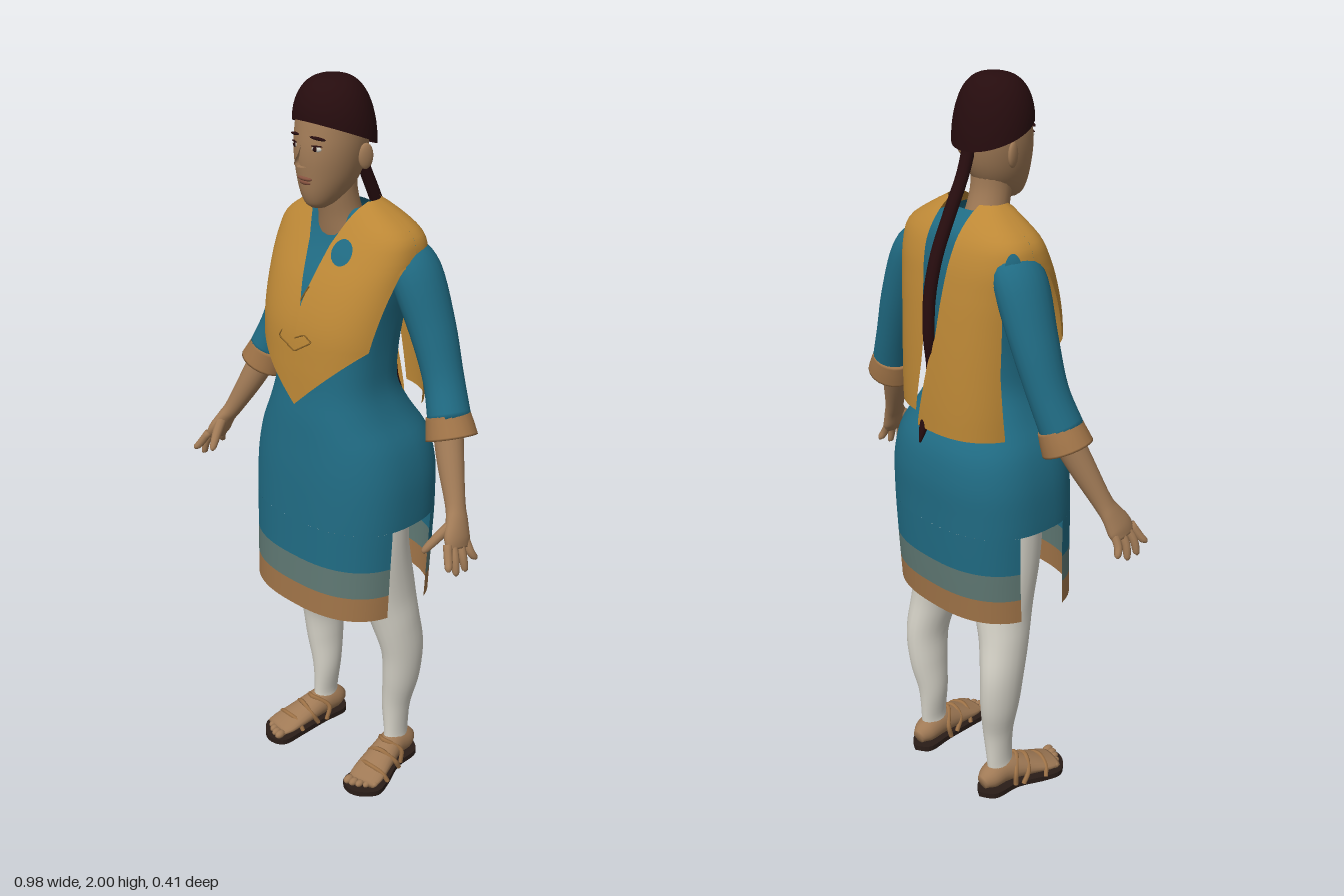
import * as THREE from 'three';
import { mergeVertices } from 'three/addons/utils/BufferGeometryUtils.js';

const mat = (name, color, side = THREE.FrontSide) => {
  const m = new THREE.MeshStandardMaterial({ color, side });
  m.name = name;
  return m;
};
const D = THREE.DoubleSide;
const teal = mat('teal cloth', 0x206b83, D), gold = mat('golden vest', 0xbd8836, D);
const seamGold = mat('dark gold seam', 0x8a6226), hairMat = mat('dark hair', 0x260c0e, D);
const skin = mat('skin', 0xa07a56), cream = mat('cream leggings', 0xd6d3c8);
const tan = mat('tan trim', 0xa07448, D), grey = mat('grey band', 0x5f7873, D);
const soleMat = mat('dark sole', 0x2a1d18), lip = mat('lips', 0x85523f);

const V = (x, y, z) => new THREE.Vector3(x, y, z);
const rad = Math.PI / 180;

function mesh(name, geo, material, parent) {
  const m = new THREE.Mesh(geo, material);
  m.name = name;
  parent.add(m);
  return m;
}

// Surface from fn(u, v); u runs across, v runs along
function grid(fn, nu, nv) {
  const pos = [], idx = [];
  for (let i = 0; i <= nv; i++)
    for (let j = 0; j <= nu; j++) pos.push(...fn(j / nu, i / nv));
  for (let i = 0; i < nv; i++)
    for (let j = 0; j < nu; j++) {
      const a = i * (nu + 1) + j, b = a + nu + 1;
      idx.push(a, b, a + 1, b, b + 1, a + 1);
    }
  let g = new THREE.BufferGeometry();
  g.setAttribute('position', new THREE.Float32BufferAttribute(pos, 3));
  g.setIndex(idx);
  g = mergeVertices(g, 1e-5);
  g.computeVertexNormals();
  return g;
}

// Closed limb through rows of [x, y, z, width, depth]; depth points along ref
function limb(rows, { ref = V(0, 0, 1), level = false, nu = 20, steps = 5 } = {}) {
  const path = new THREE.CatmullRomCurve3(rows.map(r => V(r[0], r[1], r[2])), false, 'catmullrom');
  const size = new THREE.CatmullRomCurve3(rows.map(r => V(r[3], r[4], 0)), false, 'catmullrom');
  const n = (rows.length - 1) * steps;
  const rings = [];
  for (let i = 0; i <= n; i++) {
    const t = level ? V(0, 1, 0) : path.getTangent(i / n);
    const u = t.clone().cross(ref).normalize(), w = u.clone().cross(t);
    rings.push({ p: path.getPoint(i / n), s: size.getPoint(i / n), u, w });
  }
  return grid((a, v) => {
    const k = Math.round(v * (n + 2)) - 1;
    const r = rings[Math.min(n, Math.max(0, k))];
    const f = k < 0 || k > n ? 0 : 1, th = a * Math.PI * 2;
    return r.p.clone().addScaledVector(r.u, f * Math.max(r.s.x, 0.001) * Math.cos(th))
      .addScaledVector(r.w, f * Math.max(r.s.y, 0.001) * Math.sin(th)).toArray();
  }, nu, n + 2);
}

// Interpolated tables: rows of [y, values...]
function table(rows, Kind = THREE.LinearInterpolant) {
  const it = new Kind(rows.map(r => r[0]), rows.flatMap(r => r.slice(1)), rows[0].length - 1);
  return y => [...it.evaluate(y)];
}
// Body and vest sections: [y, half width, front z, back z]
const body = table([[0.6, .245, .205, -.185], [0.75, .247, .2, -.195], [0.9, .25, .195, -.2], [1.0, .243, .19, -.2],
  [1.08, .222, .183, -.183], [1.15, .185, .176, -.14], [1.22, .16, .165, -.105], [1.3, .156, .158, -.105],
  [1.4, .163, .15, -.12], [1.5, .178, .12, -.125], [1.58, .185, .075, -.12], [1.64, .14, .05, -.105],
  [1.68, .06, .045, -.06]], THREE.CubicInterpolant);
const vest = table([[1.12, .2, .19, -.187], [1.19, .203, .186, -.187], [1.3, .207, .182, -.183], [1.4, .212, .172, -.176],
  [1.5, .217, .14, -.165], [1.58, .217, .1, -.15], [1.63, .2, .072, -.13], [1.68, .125, .045, -.09],
  [1.7, .09, .035, -.065]], THREE.CubicInterpolant);
const spow = c => Math.sign(c) * Math.abs(c) ** 0.8;
function around(sec, th, y, off = 0) {
  const [rx, f, b] = sec(y);
  return [(rx + off) * spow(Math.cos(th)), y, (f + b) / 2 + ((f - b) / 2 + off) * spow(Math.sin(th))];
}
// Cloth between heights y0 and y1 and angles a0(y) and a1(y)
function cloth(sec, y0, y1, a0, a1, nu, nv) {
  return grid((u, v) => {
    const y = y0 + (y1 - y0) * v;
    return around(sec, a0(y) + (a1(y) - a0(y)) * u, y);
  }, nu, nv);
}
const angleAt = (x, y) => Math.acos(Math.min(1, Math.abs(x) / vest(y)[0]) ** 1.25 * Math.sign(x || 1));

function addDress(g) {
  mesh('tunic', cloth(body, 0.86, 1.68, () => -90 * rad, () => 270 * rad, 56, 40), teal, g);
  // Skirt panels with open side slits
  for (const [side, a, b] of [['front', 16, 164], ['back', 199, 341]])
    for (const [part, y0, y1, m] of [['Hem', .6, .67, tan], ['Band', .67, .75, grey], ['Skirt', .75, .86, teal]])
      mesh(side + part, cloth(body, y0, y1, () => a * rad, () => b * rad, 32, 3), m, g);
}

function addVest(g) {
  const frontWidth = table([[1.19, 0], [1.36, .185], [1.46, .2], [1.57, .217], [1.7, .3]]);
  const neck = table([[1.45, 0], [1.6, .036], [1.66, .062], [1.7, .085]]);
  const backGap = table([[1.13, .006], [1.3, .012], [1.45, .03], [1.6, .05], [1.7, .055]]);
  const gapShift = table([[1.13, .05], [1.38, 0], [1.7, 0]]);
  const backEdge = table([[1.13, 24], [1.3, 30], [1.48, 32], [1.57, 0], [1.7, 0]]);
  for (const s of [1, -1]) {
    const flip = a => s > 0 ? a : Math.PI - a;
    const outer = y => angleAt(frontWidth(y)[0], y), inner = y => angleAt(neck(y)[0], y);
    const [a, b] = s > 0 ? [outer, inner] : [inner, outer];
    mesh('vestFront', cloth(vest, 1.19, 1.7, y => flip(a(y)), y => flip(b(y)), 16, 36), gold, g);
    // Back halves meet along a slightly slanted gap
    const edge = y => s > 0 ? 360 * rad - backEdge(y)[0] * rad : 180 * rad + backEdge(y)[0] * rad;
    const mid = y => 360 * rad - angleAt(gapShift(y)[0] + s * backGap(y)[0], y);
    const [c, d] = s > 0 ? [mid, edge] : [edge, mid];
    mesh('vestBack', cloth(vest, s > 0 ? 1.16 : 1.12, 1.7, c, d, 16, 36), gold, g);
  }
  // Overlap seam and cloth spots lying on the vest
  const seam = [[.015, 1.5], [-.06, 1.36], [0, 1.335], [.055, 1.37], [.03, 1.385], [.0, 1.37]]
    .map(([x, y]) => V(...around(vest, angleAt(x, y), y, .002)));
  const line = new THREE.CurvePath();
  for (let i = 1; i < seam.length; i++) line.add(new THREE.LineCurve3(seam[i - 1], seam[i]));
  mesh('vestSeam', new THREE.TubeGeometry(line, 40, .002, 5), seamGold, g);
  for (const [th, y, w, h] of [[73, 1.59, 8, .03], [203, 1.58, 9, .035]])
    mesh('clothSpot', grid((u, v) => around(vest, (th + w * v * Math.cos(u * 2 * Math.PI)) * rad,
      y + h * v * Math.sin(u * 2 * Math.PI), .004), 20, 4), teal, g);
}

function addArm(g, s) {
  const arm = new THREE.Group();
  arm.name = s > 0 ? 'leftArm' : 'rightArm';
  g.add(arm);
  const L = (name, rows, m, o) => mesh(name, limb(rows.map(([x, ...r]) => [x * s, ...r]), o), m, arm);
  L('sleeve', [[.15, 1.59, -.045, .04, .06], [.195, 1.53, -.05, .058, .074], [.25, 1.4, -.055, .055, .064],
    [.295, 1.28, -.05, .05, .055], [.335, 1.18, -.033, .054, .058]], teal);
  L('cuff', [[.325, 1.195, -.036, .056, .059], [.337, 1.165, -.032, .063, .063], [.347, 1.14, -.028, .068, .066]], tan);
  L('forearm', [[.33, 1.18, -.03, .04, .04], [.37, 1.09, 0, .035, .034], [.415, 1.0, .03, .025, .027],
    [.435, .965, .045, .021, .033], [.45, .93, .06, .02, .042], [.46, .905, .066, .014, .038]], skin);
  // Fingers fan out along z, thumb to the front
  [[.1, .125, .872], [.08, .096, .85], [.056, .062, .848], [.036, .026, .865]].forEach(([z0, z1, y1]) =>
    L('finger', [[.453, .925, z0, .011, .012], [.472, .89, (z0 + z1) / 2 + .004, .011, .011],
      [.48, y1 + .006, z1, .009, .009], [.48, y1, z1, .004, .004]], skin, { nu: 10, steps: 3 }));
  L('thumb', [[.435, .965, .06, .014, .016], [.42, .935, .095, .013, .014], [.405, .905, .125, .01, .01],
    [.402, .895, .132, .004, .004]], skin, { nu: 10, steps: 3 });
}

function addLeg(g, s) {
  const leg = new THREE.Group();
  leg.name = s > 0 ? 'leftLeg' : 'rightLeg';
  g.add(leg);
  const up = V(0, 1, 0), mir = rows => rows.map(([x, ...r]) => [x * s, ...r]);
  mesh('legging', limb(mir([[.12, .93, 0, .09, .08], [.122, .75, -.008, .082, .085], [.128, .6, -.035, .074, .085],
    [.147, .5, -.052, .062, .075], [.16, .4, -.07, .051, .069], [.155, .3, -.073, .047, .061],
    [.143, .2, -.068, .038, .047], [.146, .1, -.065, .027, .042], [.146, .06, -.06, .034, .045]])), cream, leg);
  mesh('foot', limb(mir([[.143, .04, -.13, .018, .02], [.145, .05, -.1, .035, .036], [.148, .058, -.05, .038, .042],
    [.16, .045, .02, .045, .03], [.172, .032, .08, .05, .018], [.178, .026, .115, .044, .011]]), { ref: up }), skin, leg);
  for (let i = 0; i < 5; i++) {
    const toe = mesh('toe', new THREE.SphereGeometry(.012 - i * .001, 10, 8), skin, leg);
    toe.position.set(s * (.145 + i * .0175), .027, .132 - i * i * .0022);
    toe.scale.z = 1.5;
  }
  // Sandal sole outline, then straps
  const outline = [[.145, -.142], [.185, -.11], [.19, -.03], [.222, .05], [.232, .1], [.2, .14], [.16, .152],
    [.123, .13], [.118, .06], [.115, -.03], [.108, -.11]].map(([x, z]) => new THREE.Vector2(x * s, -z));
  const shape = new THREE.Shape(new THREE.SplineCurve([...outline, outline[0]]).getPoints(50));
  const sole = mesh('sole', new THREE.ExtrudeGeometry(shape, { depth: .016, bevelEnabled: false }), soleMat, leg);
  sole.rotation.x = -Math.PI / 2;
  const strap = (...p) => mesh('strap', new THREE.TubeGeometry(new THREE.CatmullRomCurve3(
    p.map(([x, y, z]) => V(x * s, y, z))), 24, .007, 6), tan, leg);
  strap([.12, .015, .06], [.135, .045, .065], [.172, .056, .07], [.21, .042, .06], [.222, .015, .05]);
  strap([.115, .015, .0], [.122, .055, .02], [.162, .078, .02], [.2, .05, .0], [.202, .015, -.02]);
  strap([.108, .015, -.03], [.108, .06, -.04], [.15, .092, -.008], [.19, .06, -.04], [.19, .015, -.04]);
}

function addHead(g) {
  const head = new THREE.Group();
  head.name = 'head';
  g.add(head);
  mesh('neck', limb([[0, 1.6, .0, .075, .06], [0, 1.66, .015, .058, .055], [0, 1.72, .03, .053, .053],
    [0, 1.78, .035, .055, .055]], { level: true }), skin, head);
  mesh('face', limb([[0, 1.69, .09, .02, .022], [0, 1.702, .084, .036, .042], [0, 1.73, .066, .056, .07],
    [0, 1.77, .055, .073, .086], [0, 1.82, .049, .084, .095], [0, 1.87, .045, .087, .094], [0, 1.93, .04, .082, .085],
    [0, 1.97, .04, .05, .055]], { level: true, nu: 32 }), skin, head);
  mesh('nose', limb([[0, 1.86, .132, .008, .008], [0, 1.83, .142, .01, .012], [0, 1.807, .15, .016, .016],
    [0, 1.797, .146, .012, .012]], { level: true, nu: 12 }), skin, head);
  const blob = (name, m, x, y, z, a, b, c, turn = 0, tilt = 0) => {
    const e = mesh(name, new THREE.SphereGeometry(1, 14, 10), m, head);
    e.position.set(x, y, z);
    e.scale.set(a, b, c);
    e.rotation.set(0, turn, tilt);
  };
  blob('upperLip', lip, 0, 1.767, .137, .024, .006, .008);
  blob('lowerLip', lip, 0, 1.757, .134, .02, .007, .008);
  for (const s of [1, -1]) {
    blob('eye', cream, s * .035, 1.842, .132, .014, .007, .005, s * .3);
    blob('pupil', hairMat, s * .034, 1.842, .1355, .006, .006, .004, s * .3);
    blob('lid', hairMat, s * .036, 1.849, .132, .016, .002, .005, s * .3);
    blob('eyebrow', hairMat, s * .038, 1.867, .13, .021, .004, .006, s * .35, -s * .12);
    blob('ear', skin, s * .089, 1.815, .02, .009, .032, .02, -s * .3);
  }
  // Hair cap, lower at the nape than at the brow
  mesh('hair', grid((u, v) => {
    const th = u * Math.PI * 2, low = 1.862 + .04 * Math.sin(th), k = v * Math.PI / 2;
    const r = Math.max(0, Math.cos(k)) ** 0.72;
    return [.107 * r * Math.cos(th), low + (2 - low) * Math.sin(k), .035 + .099 * r * Math.sin(th)];
  }, 40, 14), hairMat, head);
  // Braid runs over the neck, then under the vest to a loose tip
  mesh('braid', limb([[0, 1.86, -.035, .02, .016], [0, 1.77, -.062, .018, .015], [0, 1.68, -.105, .018, .016],
    [0, 1.58, -.15, .018, .016], [0, 1.48, -.175, .018, .015], [0, 1.38, -.18, .017, .014], [.01, 1.28, -.165, .015, .012],
    [.02, 1.18, -.165, .014, .012], [.025, 1.12, -.182, .012, .011], [.025, 1.08, -.195, .003, .003]],
    { nu: 12 }), hairMat, head);
}

export function createModel() {
  const g = new THREE.Group();
  g.name = 'woman';
  addDress(g);
  addVest(g);
  for (const s of [1, -1]) {
    addArm(g, s);
    addLeg(g, s);
  }
  addHead(g);
  return g;
}
